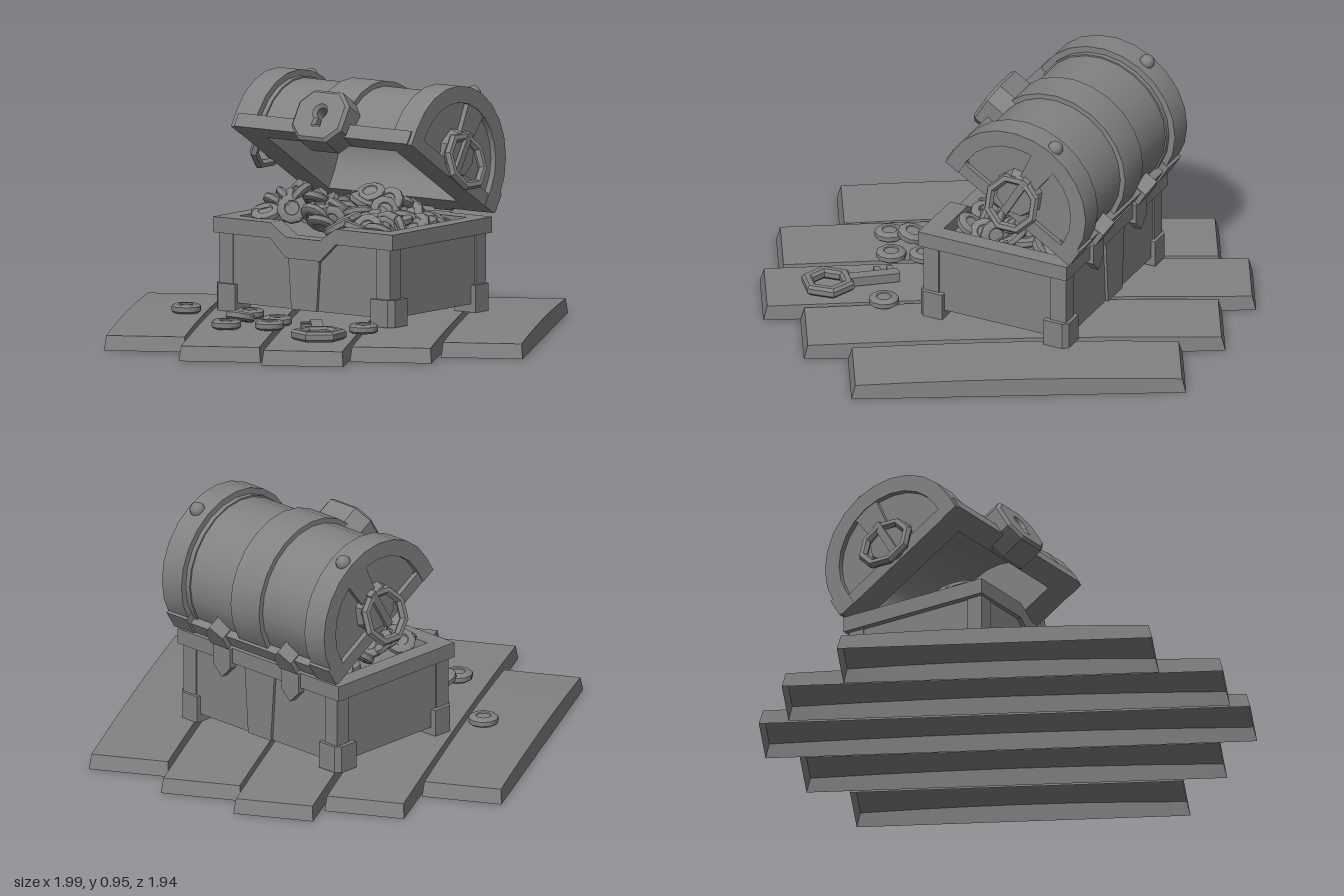
import * as THREE from 'three';
import { toCreasedNormals } from 'three/addons/utils/BufferGeometryUtils.js';

const GREY = 0x828282;
const smooth = new THREE.MeshStandardMaterial({ color: GREY });
const flat = new THREE.MeshStandardMaterial({ color: GREY, flatShading: true });
const open = new THREE.MeshStandardMaterial({ color: GREY, flatShading: true, side: THREE.DoubleSide });

function add(parent, name, geo, x = 0, y = 0, z = 0, mat = flat) {
  const m = new THREE.Mesh(geo, mat);
  m.name = name;
  m.position.set(x, y, z);
  parent.add(m);
  return m;
}
const box = (w, h, d) => new THREE.BoxGeometry(w, h, d);
const poly = (pts) => new THREE.Shape(pts.map(([x, y]) => new THREE.Vector2(x, y)));
const extrude = (shape, depth, bevel = 0) => new THREE.ExtrudeGeometry(shape, {
  depth, curveSegments: 10, bevelEnabled: bevel > 0, bevelSize: bevel, bevelThickness: bevel, bevelSegments: 1,
});

// Seeded random numbers for the coin pile
let seed = 7;
const rand = () => (seed = (seed * 16807) % 2147483647) / 2147483647;

// Plank: arched top, flaring sides, open underneath
function plank(length) {
  const g = new THREE.BoxGeometry(0.3, 0.06, length, 1, 1, 6);
  const p = g.attributes.position;
  for (let i = 0; i < p.count; i++) {
    const z = p.getZ(i);
    if (p.getY(i) > 0) {
      p.setXYZ(i, p.getX(i), 0.068 - 0.012 * (2 * z / length) ** 2, z * (1 - 0.03 / length));
    } else {
      p.setXYZ(i, p.getX(i) * 1.04, 0, z);
    }
  }
  const bottom = g.groups[3];
  g.setIndex([...g.index.array].filter((_, i) => i < bottom.start || i >= bottom.start + bottom.count));
  g.clearGroups();
  return g;
}

// Lid cross-section (depth, height), inset by d
function archPoints(d) {
  const pts = [[d, 0]];
  for (let i = 0; i <= 12; i++) {
    const a = Math.PI * (1 - i / 12);
    pts.push([0.31 + (0.31 - d) * Math.cos(a), 0.07 + (0.295 - d) * Math.sin(a)]);
  }
  pts.push([0.62 - d, 0]);
  return pts;
}
// Arch swept across x; solid when no inner inset is given
function arch(x0, x1, outer, inner) {
  const pts = archPoints(outer);
  if (inner) pts.push(...archPoints(inner).reverse());
  const g = extrude(poly(pts), x1 - x0).rotateY(Math.PI / 2).translate(x0, 0, 0);
  return toCreasedNormals(g, 0.6);
}

// Coin with a faintly raised edge
const coinGeo = toCreasedNormals(new THREE.LatheGeometry([
  [0, -0.013], [0.027, -0.013], [0.03, -0.017], [0.047, -0.017], [0.058, -0.009],
  [0.058, 0.009], [0.047, 0.017], [0.03, 0.017], [0.027, 0.013], [0, 0.013],
].map(([x, y]) => new THREE.Vector2(x, y)), 10), 0.7);

function buildBase(root) {
  const base = new THREE.Group();
  base.name = 'chestBase';
  base.position.set(-0.035, 0, -0.155);
  root.add(base);
  const walls = poly([[-0.4, -0.297], [0.4, -0.297], [0.4, 0.297], [-0.4, 0.297]]);
  walls.holes.push(poly([[-0.35, -0.247], [-0.35, 0.247], [0.35, 0.247], [0.35, -0.247]]));
  add(base, 'walls', extrude(walls, 0.265).rotateX(-Math.PI / 2), 0, 0.1, 0);
  add(base, 'floor', box(0.78, 0.03, 0.57), 0, 0.115, 0);
  // Rim: sides, back, and a front that dips in the middle
  for (const s of [-1, 1]) add(base, 'sideRim', box(0.07, 0.06, 0.63), s * 0.39, 0.395, 0);
  add(base, 'backRim', box(0.84, 0.06, 0.07), 0, 0.395, -0.28);
  const front = poly([[-0.425, 0.365], [-0.155, 0.365], [-0.08, 0.295], [0.08, 0.295], [0.155, 0.365], [0.425, 0.365],
    [0.425, 0.425], [0.155, 0.425], [0.08, 0.375], [-0.08, 0.375], [-0.155, 0.425], [-0.425, 0.425]]);
  add(base, 'frontRim', extrude(front, 0.075), 0, 0, 0.24);
  for (const s of [-1, 1]) {
    // Centre straps, corner posts and feet
    const strap = poly([[-0.06, 0.1], [0.06, 0.1], [0.078, 0.365], [-0.078, 0.365]]);
    add(base, 'centreStrap', extrude(strap, 0.02), 0, 0, s > 0 ? 0.288 : -0.308);
    for (const t of [-1, 1]) {
      add(base, 'cornerPost', box(0.065, 0.25, 0.065), s * 0.373, 0.24, t * 0.27);
      const foot = poly([[-0.05, -0.05], [0.05, -0.05], [0.05, 0.03], [0.03, 0.05], [-0.05, 0.05]]);
      const f = add(base, 'foot', extrude(foot, 0.105).rotateX(-Math.PI / 2), s * 0.372, 0.068, t * 0.265);
      f.rotation.y = Math.atan2(-t, s) - Math.PI / 4;
    }
    // Pointed hinge plate on the back
    const hinge = poly([[-0.045, 0.425], [-0.045, 0.345], [0, 0.3], [0.045, 0.345], [0.045, 0.425]]);
    add(base, 'hingePlate', extrude(hinge, 0.04), s * 0.18, 0, -0.328);
  }
}

function buildLid(root) {
  const lid = new THREE.Group();
  lid.name = 'lid';
  lid.position.set(-0.035, 0.76, 0.048);
  lid.rotation.x = -0.55;
  root.add(lid);
  add(lid, 'barrel', arch(-0.33, 0.33, 0.036, 0.085), 0, 0, 0, smooth);
  add(lid, 'centreBand', arch(-0.075, 0.075, 0.016, 0.06), 0, 0, 0, smooth);
  add(lid, 'frontLip', box(0.82, 0.055, 0.08), 0, 0.0275, -0.04);
  add(lid, 'backLip', box(0.82, 0.055, 0.08), 0, 0.0275, -0.575);
  for (const s of [-1, 1]) {
    const span = (a, b, o, i) => (s > 0 ? arch(a, b, o, i) : arch(-b, -a, o, i));
    add(lid, 'endWall', span(0.305, 0.405, 0.03), 0, 0, 0, smooth);
    add(lid, 'endBand', span(0.325, 0.428, 0.006, 0.07), 0, 0, 0, smooth);
    add(lid, 'endLip', box(0.12, 0.05, 0.6), s * 0.365, 0.025, -0.31);
    // Strap widening upwards from the handle hub
    const strap = poly([[-0.03, 0.08], [0.03, 0.08], [0.06, 0.34], [-0.06, 0.34]]);
    const strapGeo = extrude(strap, 0.02).rotateY(Math.PI / 2);
    add(lid, 'sideStrap', strapGeo, s * 0.415 - 0.01, 0, -0.31);
    const hub = new THREE.CylinderGeometry(0.085, 0.1, 0.03, 8).rotateZ(-s * Math.PI / 2);
    add(lid, 'handleHub', hub, s * 0.42, 0.1, -0.3);
    add(lid, 'handleBar', box(0.03, 0.18, 0.03), s * 0.435, 0.1, -0.3);
    add(lid, 'stud', new THREE.SphereGeometry(0.03, 10, 6), s * 0.385, 0.358, -0.31, smooth);
    add(lid, 'backCorner', box(0.106, 0.08, 0.05), s * 0.375, 0.045, -0.598);
    const plate = poly([[-0.045, 0], [0.045, 0], [0.045, 0.06], [0, 0.11], [-0.045, 0.06]]);
    add(lid, 'lidHinge', extrude(plate, 0.06), s * 0.18, 0, -0.635);
  }
  // Octagonal lock with a keyhole
  const lock = poly([[-0.06, -0.03], [0.06, -0.03], [0.106, 0.016], [0.106, 0.108], [0.06, 0.154],
    [-0.06, 0.154], [-0.106, 0.108], [-0.106, 0.016]]);
  const hole = new THREE.Path();
  hole.moveTo(-0.022, 0.015);
  hole.lineTo(0.022, 0.015);
  hole.lineTo(0.019, 0.05);
  hole.absarc(0, 0.076, 0.033, -0.95, Math.PI + 0.95, false);
  hole.closePath();
  lock.holes.push(hole);
  add(lid, 'lock', extrude(lock, 0.1, 0.012), 0, 0, -0.063);
  add(lid, 'lockBacking', box(0.12, 0.13, 0.03), 0, 0.07, -0.02);
}

function buildKey(root) {
  const key = new THREE.Group();
  key.name = 'key';
  key.position.set(0.345, 0.088, 0.565);
  key.rotation.y = Math.atan2(-0.17, -0.21);
  root.add(key);
  const hex = (r) => Array.from({ length: 6 }, (_, i) =>
    [r * Math.cos(i * Math.PI / 3), r * Math.sin(i * Math.PI / 3)]);
  const bow = poly(hex(0.094));
  bow.holes.push(poly(hex(0.072)));
  add(key, 'keyBow', extrude(bow, 0.02, 0.01).rotateX(-Math.PI / 2), 0, -0.01, 0);
  add(key, 'keyShaft', box(0.045, 0.036, 0.2), 0, 0, 0.175);
  for (const z of [0.2, 0.25]) add(key, 'keyTooth', box(0.05, 0.026, 0.025), 0.035, 0, z);
}

export function createModel() {
  const root = new THREE.Group();
  root.name = 'treasureChest';

  // Floor planks: centre x, centre z, length
  for (const [x, z, len] of [[-0.57, 0.309, 1.2], [-0.289, 0.157, 1.68], [-0.013, -0.019, 1.87],
    [0.263, -0.179, 1.6], [0.547, -0.339, 1.27]]) {
    add(root, 'plank', plank(len), x, 0, z, open).rotation.y = 0.509;
  }

  buildBase(root);
  buildLid(root);

  // Ring handles hanging from the lid ends
  for (const s of [-1, 1]) {
    const ring = new THREE.TorusGeometry(0.1, 0.018, 6, 8).rotateZ(Math.PI / 8).rotateY(Math.PI / 2);
    add(root, 'ringHandle', ring, -0.035 + s * 0.46, 0.665, -0.255).rotation.z = s * 0.32;
  }

  // Coin pile with two peaks
  add(root, 'treasureFill', box(0.7, 0.25, 0.5), -0.035, 0.245, -0.155);
  const peak = (x, z, cx, cz) => Math.exp(-((x - cx) ** 2 + (z - cz) ** 2) / 0.016);
  for (let i = 0; i < 9; i++) {
    for (let j = 0; j < 8; j++) {
      const x = -0.31 + i * 0.069 + (rand() - 0.5) * 0.04;
      const z = -0.34 + j * 0.05 + (rand() - 0.5) * 0.03;
      const y = 0.39 + 0.11 * Math.min(1, peak(x, z, -0.21, -0.06) + peak(x, z, 0.04, -0.2)) + rand() * 0.02;
      add(root, 'pileCoin', coinGeo, x, y, z, smooth).rotation.set((rand() - 0.5) * 2, rand() * 6, (rand() - 0.5) * 2);
    }
  }
  add(root, 'pileCoin', coinGeo, -0.29, 0.44, 0.05, smooth).rotation.x = 0.4;

  // Loose coins on the planks, one leaning on another
  for (const [x, z] of [[-0.495, 0.283], [-0.22, 0.25], [-0.02, 0.34], [-0.115, 0.535], [0.03, 0.455], [0.37, 0.315]]) {
    add(root, 'looseCoin', coinGeo, x, 0.085, z, smooth);
  }
  add(root, 'leaningCoin', coinGeo, -0.12, 0.103, 0.44, smooth).rotation.x = -0.25;

  buildKey(root);
  return root;
}
